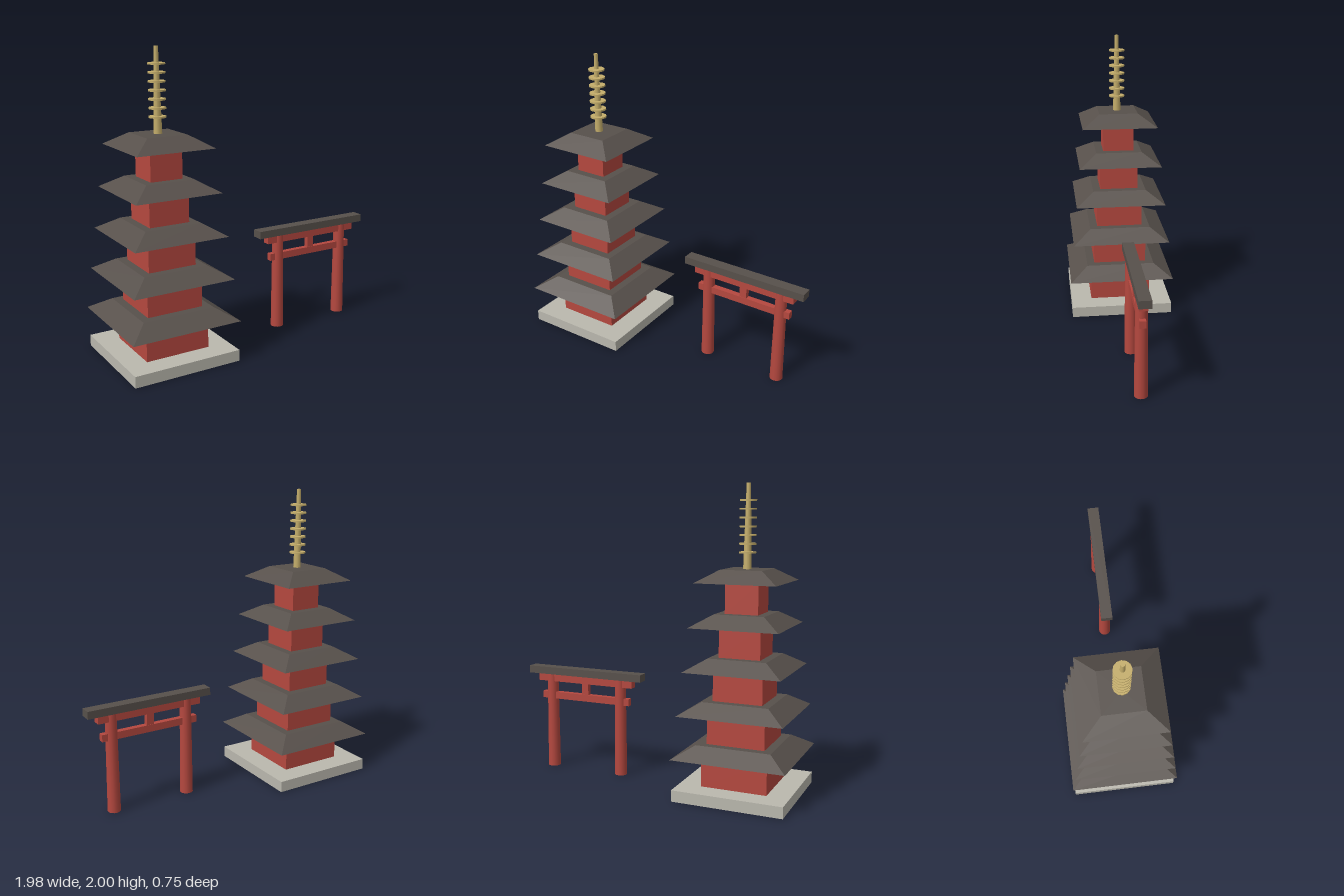
import * as THREE from 'three';

const mat = (name, color) => {
  const m = new THREE.MeshStandardMaterial({ color });
  m.name = name;
  return m;
};

export function createModel() {
  const red = mat('red lacquer', 0xb5483f);
  const tile = mat('dark roof tile', 0x57504b);
  const stone = mat('pale stone', 0xbab8ae);
  const gold = mat('gold', 0xc4ad6a);

  const add = (parent, name, geo, material, x, y, z = 0) => {
    const mesh = new THREE.Mesh(geo, material);
    mesh.name = name;
    mesh.position.set(x, y, z);
    parent.add(mesh);
    return mesh;
  };

  // Box placed by its bottom and top heights
  const block = (parent, name, material, x, w, d, y0, y1) =>
    add(parent, name, new THREE.BoxGeometry(w, y1 - y0, d), material, x, (y0 + y1) / 2);

  // Square truncated pyramid, aligned with the axes
  const hipRoof = (bottom, top, height) => {
    const geo = new THREE.CylinderGeometry(top * Math.SQRT1_2, bottom * Math.SQRT1_2, height, 4)
      .rotateY(Math.PI / 4).toNonIndexed();
    geo.computeVertexNormals();
    return geo;
  };

  const model = new THREE.Group();
  model.name = 'pagodaAndGate';

  // Pagoda: five shrinking storeys on a stone base
  const pagoda = new THREE.Group();
  pagoda.name = 'pagoda';
  pagoda.position.x = -0.62;
  model.add(pagoda);
  block(pagoda, 'base', stone, 0, 0.73, 0.73, 0, 0.075);
  const wallH = 0.199, roofH = 0.079;
  for (let i = 0; i < 5; i++) {
    const y = 0.075 + i * (wallH + roofH);
    const wall = 0.436 - i * 0.0545, eave = 0.746 - i * 0.0545;
    block(pagoda, `wall${i + 1}`, red, 0, wall, wall, y, y + wallH);
    add(pagoda, `roof${i + 1}`, hipRoof(eave, eave - 0.255, roofH), tile, 0, y + wallH + roofH / 2);
  }

  // Spire with seven rings
  const spireY = 0.075 + 5 * (wallH + roofH);
  add(pagoda, 'spire', new THREE.CylinderGeometry(0.0135, 0.027, 2 - spireY, 10), gold, 0, (spireY + 2) / 2);
  for (let i = 0; i < 7; i++) {
    add(pagoda, `spireRing${i + 1}`, new THREE.CylinderGeometry(0.055, 0.055, 0.011, 12), gold, 0, 1.569 + i * 0.0542);
  }

  // Gate: two tapered posts, tie beams and a dark cap
  const gate = new THREE.Group();
  gate.name = 'gate';
  gate.position.x = 0.552;
  model.add(gate);
  for (const side of [-1, 1]) {
    add(gate, side > 0 ? 'leftPost' : 'rightPost',
      new THREE.CylinderGeometry(0.038, 0.044, 0.676, 14), red, side * 0.27, 0.338);
  }
  block(gate, 'capBeam', tile, 0, 0.88, 0.08, 0.675, 0.726);
  block(gate, 'upperBeam', red, 0, 0.735, 0.055, 0.624, 0.672);
  block(gate, 'lowerBeam', red, 0, 0.684, 0.04, 0.497, 0.545);
  block(gate, 'centreStrut', red, 0, 0.05, 0.035, 0.545, 0.624);

  return model;
}
